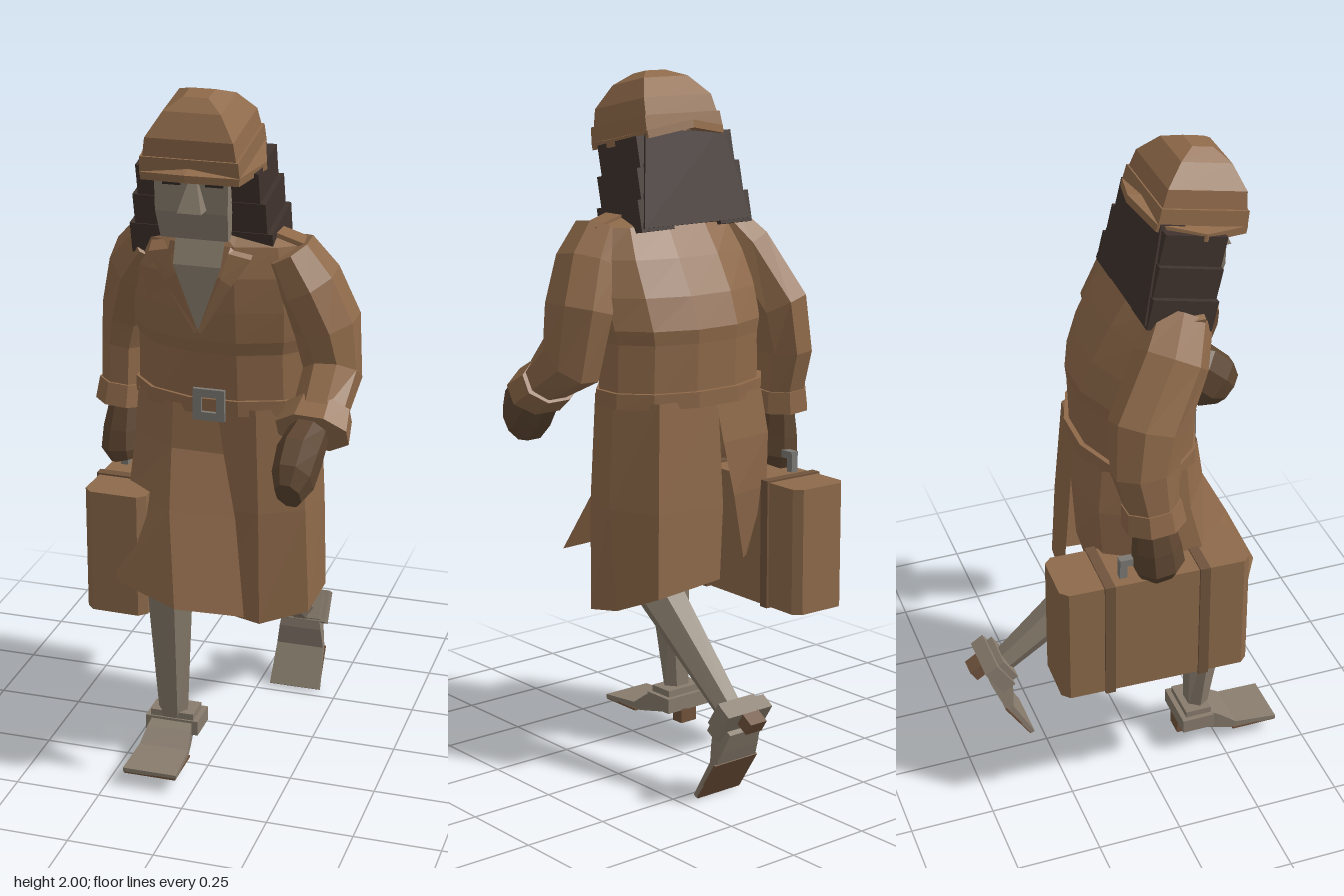
import * as THREE from 'three';

const mat = (name, color, side = THREE.FrontSide) => {
  const m = new THREE.MeshStandardMaterial({ color, side });
  m.name = name;
  return m;
};
const M = {
  coat: mat('coat brown', 0x8f6a4a, THREE.DoubleSide),
  skin: mat('grey skin', 0x887c6d, THREE.DoubleSide),
  hair: mat('dark hair', 0x3f322d),
  glove: mat('glove brown', 0x5e4631),
  leather: mat('case leather', 0x8d6a4b),
  strap: mat('strap brown', 0x70533c),
  metal: mat('metal grey', 0x7d7a75),
  dark: mat('eye dark', 0x302924),
};

const V = (x, y, z) => new THREE.Vector3(x, y, z);

function add(parent, name, geo, material, x = 0, y = 0, z = 0) {
  const mesh = new THREE.Mesh(geo, material);
  mesh.name = name;
  mesh.position.set(x, y, z);
  parent.add(mesh);
  return mesh;
}

function group(parent, name, x = 0, y = 0, z = 0, tilt = 0) {
  const g = new THREE.Group();
  g.name = name;
  g.position.set(x, y, z);
  g.rotation.x = tilt;
  parent.add(g);
  return g;
}

const box = (p, name, w, h, d, m, x, y, z) => add(p, name, new THREE.BoxGeometry(w, h, d), m, x, y, z);

// Faceted skin over rings of points; closed rings get end caps
function loft(rings, closed) {
  const pos = [];
  const tri = (...pts) => pts.forEach((p) => pos.push(p.x, p.y, p.z));
  const n = rings[0].length;
  for (let i = 0; i < rings.length - 1; i++) {
    for (let j = 0; j < (closed ? n : n - 1); j++) {
      const k = (j + 1) % n;
      const [a, b, c, d] = [rings[i][j], rings[i][k], rings[i + 1][k], rings[i + 1][j]];
      tri(a, b, c);
      tri(a, c, d);
    }
  }
  if (closed) {
    const lo = rings[0], hi = rings[rings.length - 1];
    for (let j = 1; j < n - 1; j++) {
      tri(lo[0], lo[j + 1], lo[j]);
      tri(hi[0], hi[j], hi[j + 1]);
    }
  }
  const geo = new THREE.BufferGeometry();
  geo.setAttribute('position', new THREE.Float32BufferAttribute(pos, 3));
  geo.computeVertexNormals();
  return geo;
}

// Tapered solid along stations [x, y, z, halfWidth, halfDepth]; axis fixes the ring direction
function limb(stations, n = 8, axis = null) {
  const c = stations.map((s) => V(s[0], s[1], s[2]));
  const rings = stations.map((s, i) => {
    const t = axis ? axis.clone()
      : c[Math.min(i + 1, c.length - 1)].clone().sub(c[Math.max(i - 1, 0)]).normalize();
    const v = V(1, 0, 0).cross(t).normalize();
    const u = t.clone().cross(v);
    const k = 1 / Math.cos(Math.PI / n);
    return Array.from({ length: n }, (_, j) => {
      const a = ((j + 0.5) * 2 * Math.PI) / n;
      return c[i].clone().addScaledVector(u, Math.sin(a) * s[3] * k).addScaledVector(v, Math.cos(a) * s[4] * k);
    });
  });
  return loft(rings, true);
}
const UP = V(0, 1, 0);

// Open cloth sheet from rows of [x, y, z]
const sheet = (rows) => loft(rows.map((r) => r.map((p) => V(...p))), false);

function buildCoat(root) {
  const g = group(root, 'coat');
  add(g, 'coatBody', limb([
    [0, 1.1, 0.022, 0.258, 0.158], [0, 1.27, 0.025, 0.255, 0.168], [0, 1.31, 0.03, 0.265, 0.177],
    [0, 1.4, 0.053, 0.27, 0.168], [0, 1.5, 0.082, 0.265, 0.143],
    [0, 1.585, 0.1, 0.245, 0.108], [-0.02, 1.63, 0.11, 0.12, 0.07],
  ], 12, UP), M.coat);

  // Left skirt panel, hem to waist, front edge round to the back slit
  add(g, 'skirtLeft', sheet([
    [[-0.04, 0.46, 0.13], [0.13, 0.45, 0.17], [0.26, 0.48, 0.11], [0.275, 0.51, -0.03], [0.22, 0.56, -0.15], [0.02, 0.59, -0.18]],
    [[-0.02, 0.8, 0.17], [0.13, 0.8, 0.185], [0.25, 0.8, 0.12], [0.275, 0.8, 0], [0.21, 0.8, -0.14], [0, 0.8, -0.17]],
    [[-0.05, 1.11, 0.18], [0.12, 1.11, 0.18], [0.23, 1.11, 0.12], [0.26, 1.11, 0], [0.19, 1.11, -0.12], [0, 1.11, -0.147]],
  ]), M.coat);
  // Right skirt panel, swept forward by the stride
  add(g, 'skirtRight', sheet([
    [[-0.13, 0.61, -0.11], [-0.215, 0.6, -0.04], [-0.27, 0.59, 0.1], [-0.27, 0.58, 0.27], [-0.05, 0.58, 0.4], [0.15, 0.58, 0.39]],
    [[-0.05, 0.82, -0.16], [-0.2, 0.82, -0.13], [-0.27, 0.82, -0.01], [-0.265, 0.82, 0.15], [-0.1, 0.82, 0.285], [0.09, 0.82, 0.275]],
    [[-0.01, 0.98, -0.16], [-0.195, 0.98, -0.14], [-0.268, 0.98, -0.015], [-0.258, 0.98, 0.11], [-0.12, 0.98, 0.2], [0.035, 0.98, 0.205]],
    [[0.01, 1.11, -0.148], [-0.18, 1.11, -0.125], [-0.262, 1.11, -0.01], [-0.25, 1.11, 0.1], [-0.12, 1.11, 0.18], [0.01, 1.11, 0.188]],
  ]), M.coat);

  // Open neckline and lapels
  add(g, 'chest', sheet([
    [[-0.032, 1.35, 0.231], [-0.028, 1.35, 0.231]],
    [[-0.1, 1.53, 0.231], [0.035, 1.53, 0.231]],
    [[-0.1, 1.6, 0.205], [0.04, 1.6, 0.205]],
  ]), M.skin);
  for (const s of [-1, 1]) {
    const x = (d) => -0.03 + s * d;
    add(g, 'lapel', sheet([
      [[x(0), 1.345, 0.234], [x(0.01), 1.34, 0.234]],
      [[x(0.066), 1.5, 0.238], [x(0.095), 1.48, 0.231]],
      [[x(0.085), 1.57, 0.225], [x(0.145), 1.555, 0.214]],
      [[x(0.09), 1.64, 0.14], [x(0.15), 1.61, 0.13]],
      [[x(0.07), 1.64, 0.03], [x(0.12), 1.6, 0.0]],
    ]), M.coat);
    const ep = box(g, 'epaulette', 0.11, 0.02, 0.07, M.coat, s * 0.2, 1.595, 0.11);
    ep.rotation.z = -s * 0.3;
  }

  // Belt and square buckle
  add(g, 'belt', limb([[0, 1.09, 0.02, 0.268, 0.17], [0, 1.135, 0.02, 0.268, 0.172]], 12, UP), M.coat);
  const frame = new THREE.Shape([[-0.046, -0.046], [0.046, -0.046], [0.046, 0.046], [-0.046, 0.046]].map((p) => new THREE.Vector2(...p)));
  frame.holes.push(new THREE.Path([[-0.022, -0.022], [-0.022, 0.022], [0.022, 0.022], [0.022, -0.022]].map((p) => new THREE.Vector2(...p))));
  add(g, 'buckle', new THREE.ExtrudeGeometry(frame, { depth: 0.012, bevelEnabled: false }), M.metal, -0.01, 1.12, 0.19);
}

function buildArms(root) {
  const left = group(root, 'leftArm');
  add(left, 'leftSleeve', limb([
    [0.2, 1.57, 0.13, 0.065, 0.08], [0.25, 1.48, 0.12, 0.085, 0.1], [0.3, 1.36, 0.1, 0.085, 0.11],
    [0.32, 1.22, 0.11, 0.075, 0.1], [0.315, 1.13, 0.25, 0.07, 0.06],
  ]), M.coat);
  add(left, 'leftCuff', limb([[0.312, 1.145, 0.215, 0.088, 0.068], [0.308, 1.105, 0.28, 0.1, 0.072]]), M.coat);
  add(left, 'leftGlove', limb([
    [0.3, 1.11, 0.26, 0.05, 0.055], [0.29, 1.06, 0.34, 0.058, 0.085], [0.287, 1.01, 0.395, 0.053, 0.085], [0.285, 0.98, 0.435, 0.034, 0.055],
  ]), M.glove);

  const right = group(root, 'rightArm');
  add(right, 'rightSleeve', limb([
    [-0.19, 1.57, 0.1, 0.065, 0.085], [-0.25, 1.48, 0.05, 0.085, 0.1], [-0.31, 1.32, -0.04, 0.08, 0.105],
    [-0.33, 1.2, -0.055, 0.07, 0.09], [-0.335, 1.04, -0.03, 0.065, 0.065],
  ]), M.coat);
  add(right, 'rightCuff', limb([[-0.333, 1.085, -0.035, 0.072, 0.078], [-0.338, 1.02, -0.03, 0.078, 0.085]]), M.coat);
  add(right, 'rightGlove', limb([
    [-0.33, 1.03, -0.03, 0.045, 0.05], [-0.335, 0.94, -0.02, 0.058, 0.065], [-0.335, 0.88, -0.015, 0.064, 0.07], [-0.325, 0.845, -0.01, 0.045, 0.055],
  ]), M.glove);
}

// Foot around its ankle, toe towards +z
function buildFoot(root, name, x, y, z, tilt) {
  const g = group(root, name, x, y, z, tilt);
  box(g, 'heelBlock', 0.16, 0.045, 0.1, M.skin, 0, -0.022, -0.015);
  box(g, 'ankleStrap', 0.13, 0.02, 0.08, M.skin, 0, 0.01, -0.01);
  add(g, 'toe', limb([
    [0, -0.025, 0.0, 0.055, 0.035], [0, -0.045, 0.06, 0.066, 0.026], [0, -0.067, 0.11, 0.074, 0.012], [0, -0.07, 0.24, 0.08, 0.006],
  ], 4, V(0, 0, 1)), M.skin);
  box(g, 'sole', 0.155, 0.006, 0.14, M.strap, 0, -0.077, 0.17);
  box(g, 'heelPost', 0.058, 0.045, 0.04, M.strap, 0, -0.063, -0.045);
}

function buildLegs(root) {
  add(root, 'rightLeg', limb([[-0.11, 0.9, 0.14, 0.06, 0.06], [-0.12, 0.56, 0.23, 0.06, 0.066], [-0.125, 0.13, 0.19, 0.038, 0.03]], 6), M.skin);
  add(root, 'leftLeg', limb([[0.1, 0.75, 0.06, 0.065, 0.06], [0.11, 0.53, -0.02, 0.06, 0.06], [0.118, 0.25, -0.355, 0.034, 0.032]], 6), M.skin);
  buildFoot(root, 'rightFoot', -0.12, 0.13, 0.19, 0);
  buildFoot(root, 'leftFoot', 0.117, 0.252, -0.353, 1.0);
}

function buildHead(root) {
  const g = group(root, 'head');
  add(g, 'neck', limb([[-0.035, 1.5, 0.11, 0.07, 0.07], [-0.035, 1.64, 0.12, 0.075, 0.075]], 8, UP), M.skin);
  add(g, 'face', limb([[-0.044, 1.6, 0.135, 0.095, 0.08], [-0.044, 1.68, 0.15, 0.102, 0.09], [-0.044, 1.85, 0.155, 0.104, 0.088]], 4, UP), M.skin);
  add(g, 'nose', limb([[-0.035, 1.69, 0.25, 0.034, 0.038], [-0.035, 1.775, 0.24, 0.01, 0.012]], 4, UP), M.skin);
  for (const s of [-1, 1]) box(g, 'eye', 0.05, 0.025, 0.009, M.dark, -0.038 + s * 0.06, 1.768, 0.242);

  // Hair: tapered back and stepped side locks, leaning with the head
  const hair = group(g, 'hair', -0.035, 1.7, 0.11, 0.22);
  add(hair, 'hairBack', limb([[0, -0.14, -0.068, 0.195, 0.035], [0, 0.13, -0.062, 0.14, 0.035]], 4, UP), M.hair);
  for (let i = 0; i < 3; i++) {
    const outer = 0.172 + i * 0.015;
    for (const s of [-1, 1]) {
      box(hair, 'hairLock', outer - 0.085, 0.09, 0.18 + i * 0.005, M.hair, (s * (outer + 0.085)) / 2, 0.072 - i * 0.088, -0.002);
    }
  }

  // Hat with a squared crown, dipped at the front
  const hat = group(g, 'hat', -0.033, 1.83, 0.165, 0.2);
  const brim = [0, 0.022].map((y) => Array.from({ length: 8 }, (_, j) => {
    const a = (j * Math.PI) / 4;
    const r = j % 2 ? 1.1 : 1;
    return V(Math.sin(a) * 0.176 * r, y - 0.012 - 0.025 * Math.abs(Math.sin(a)), Math.cos(a) * 0.168 * r);
  }));
  add(hat, 'brim', loft(brim, true), M.coat);
  add(hat, 'hatBand', limb([[0, -0.015, 0, 0.139, 0.129], [0, 0.035, 0, 0.136, 0.126]], 4, UP), M.coat);
  add(hat, 'crown', limb([[0, 0.03, 0, 0.13, 0.122], [0, 0.085, 0, 0.122, 0.114], [0, 0.145, 0, 0.08, 0.073], [0, 0.17, 0, 0.035, 0.03]], 4, UP), M.coat);
}

function buildCase(root) {
  const g = group(root, 'suitcase', -0.268, 0.47, -0.022);
  const [w, d, c] = [0.092, 0.28, 0.022];
  const outline = [[w, d - c], [w - c, d], [c - w, d], [-w, d - c], [-w, c - d], [c - w, -d], [w - c, -d], [w, c - d]];
  const body = new THREE.ExtrudeGeometry(new THREE.Shape(outline.map((p) => new THREE.Vector2(...p))), { depth: 0.37, bevelEnabled: false });
  body.rotateX(-Math.PI / 2);
  add(g, 'caseBody', body, M.leather);
  for (const z of [-0.14, 0.14]) box(g, 'caseStrap', 0.198, 0.38, 0.03, M.strap, 0, 0.185, z);
  for (const z of [-0.09, 0.05]) box(g, 'handlePost', 0.022, 0.06, 0.022, M.metal, -0.05, 0.395, z);
  box(g, 'handleBar', 0.025, 0.022, 0.16, M.metal, -0.05, 0.42, -0.02);
  g.rotation.y = -0.03;
}

export function createModel() {
  const root = new THREE.Group();
  root.name = 'walkingTraveller';
  buildCoat(root);
  buildArms(root);
  buildLegs(root);
  buildHead(root);
  buildCase(root);
  return root;
}
